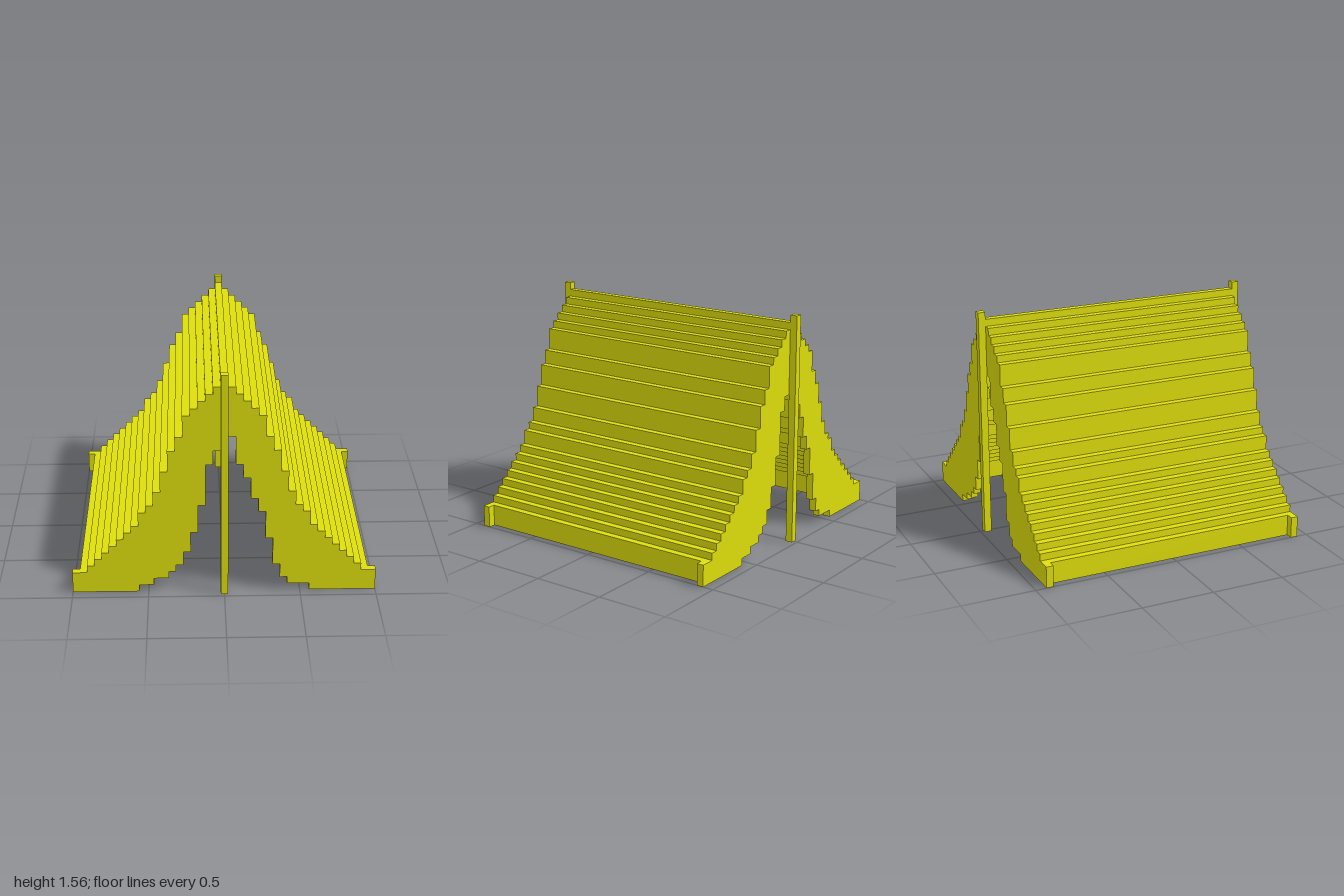
import * as THREE from 'three';

// Blocky ridge tent on a regular grid: 41 x 32 x 40 cells
const U = 2 / 41;

// Roof height in cells per column, from the ridge outwards
const TOP = [31, 30, 29, 28, 27, 26, 23, 21, 18, 15, 13, 12, 10, 9, 8, 7, 6, 5, 4, 3, 3];
// Lower edge of the two door flaps in cells, from the ridge outwards
const FLAP_LEFT = [23, 23, 19, 17, 14, 12, 8, 4, 2, 1, 1, 1];
const FLAP_RIGHT = [23, 21, 19, 13, 9, 6, 4, 3, 2, 2, 1, 1];

const material = new THREE.MeshStandardMaterial({ color: 0xdddd0c, flatShading: true });

function addBox(parent, name, w, h, d, x, y, z) {
  const mesh = new THREE.Mesh(new THREE.BoxGeometry(w * U, h * U, d * U), material);
  mesh.name = name;
  mesh.position.set(x * U, (y + h / 2) * U, z * U);
  parent.add(mesh);
}

// Stepped end wall with the door opening cut out of its lower edge
function endWallGeometry() {
  const points = [];
  const step = (col, y, dir) => {
    for (const x of [col - dir / 2, col + dir / 2]) {
      const last = points[points.length - 1];
      const p = new THREE.Vector2(x * U, y * U);
      if (!last || !last.equals(p)) points.push(p);
    }
  };
  for (let c = -20; c <= 20; c++) step(c, TOP[Math.abs(c)], 1);
  for (let c = 20; c >= -20; c--) {
    const flap = c >= 0 ? FLAP_LEFT : FLAP_RIGHT;
    step(c, flap[Math.abs(c)] ?? 0, -1);
  }
  return new THREE.ExtrudeGeometry(new THREE.Shape(points), { depth: U, bevelEnabled: false });
}

export function createModel() {
  const tent = new THREE.Group();
  tent.name = 'tent';

  // Roof: one long slat per column, each reaching down to the next one
  const roof = new THREE.Group();
  roof.name = 'roof';
  tent.add(roof);
  for (let c = -19; c <= 19; c++) {
    const k = Math.abs(c);
    const bottom = k === 19 ? 0 : TOP[k + 1];
    addBox(roof, 'roofSlat', 1, TOP[k] - bottom, 36, c, bottom, 0);
  }

  // End walls and poles; the back end is the front end turned around
  const wall = endWallGeometry();
  for (const [name, angle] of [['front', 0], ['back', Math.PI]]) {
    const end = new THREE.Group();
    end.name = name + 'End';
    end.rotation.y = angle;
    const panel = new THREE.Mesh(wall, material);
    panel.name = name + 'Wall';
    panel.position.z = 18 * U;
    end.add(panel);
    addBox(end, name + 'Pole', 1, 32, 1, 0, 0, 19.5);
    tent.add(end);
  }
  return tent;
}
